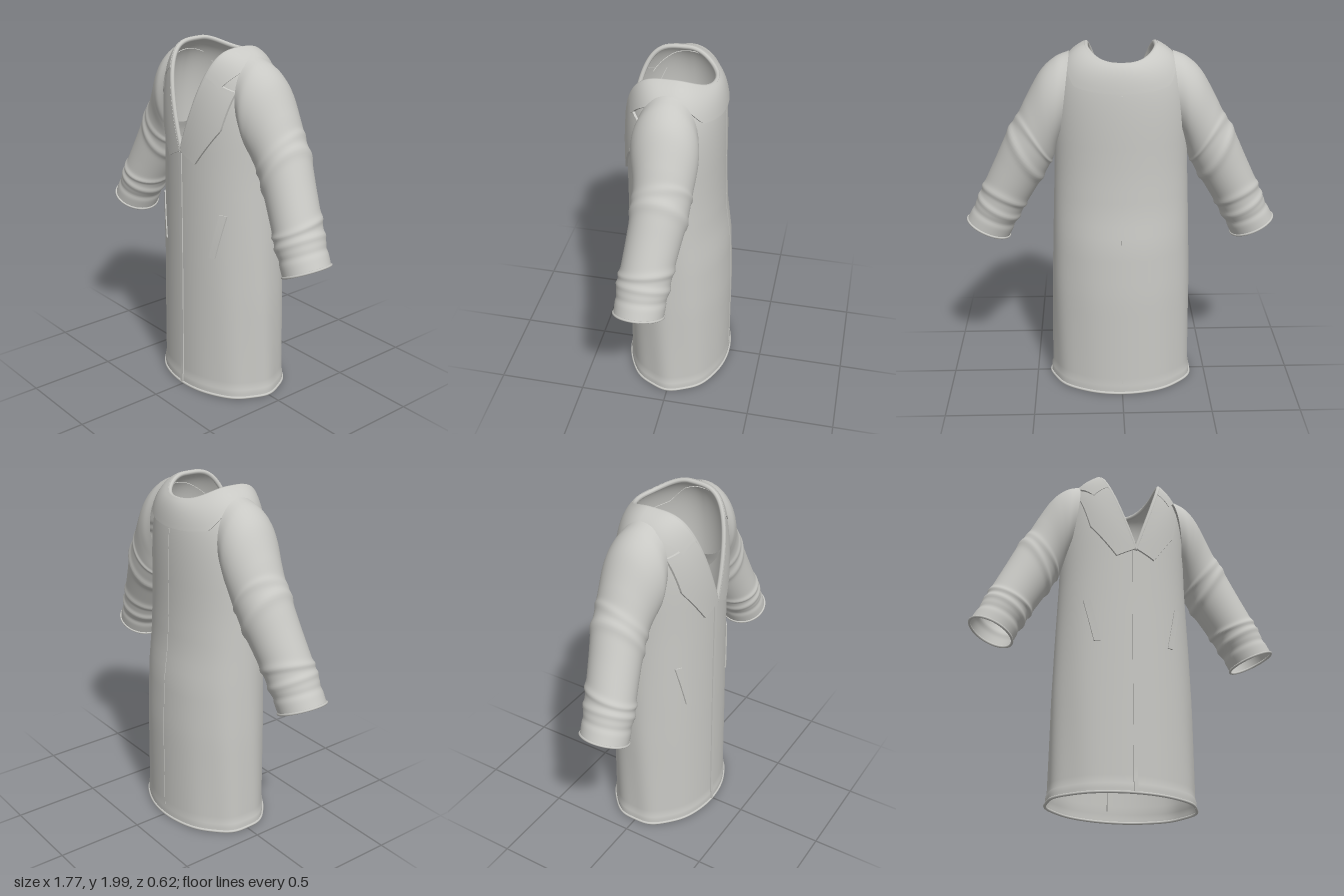
import * as THREE from 'three';
import { toCreasedNormals } from 'three/addons/utils/BufferGeometryUtils.js';

const V = (x, y, z) => new THREE.Vector3(x, y, z);
const fabric = new THREE.MeshStandardMaterial({ color: 0xc8c8c4, side: THREE.DoubleSide });
fabric.name = 'light grey fabric';

// Surface through a grid of points; rows may be closed into rings
function loft(rows, closed) {
  const n = rows[0].length, index = [];
  for (let j = 0; j < rows.length - 1; j++) {
    for (let i = 0; i < (closed ? n : n - 1); i++) {
      const a = j * n + i, b = j * n + (i + 1) % n, c = a + n, d = b + n;
      index.push(a, b, d, a, d, c);
    }
  }
  const g = new THREE.BufferGeometry().setFromPoints(rows.flat());
  g.setIndex(index);
  g.computeVertexNormals();
  return g;
}

// Raised cloth panel: fn(u, v, raised) with a skirt folded down at its border
function panel(fn, nu, nv) {
  const rows = [];
  for (let j = -1; j <= nv + 1; j++) {
    const row = [];
    for (let i = -1; i <= nu + 1; i++) {
      const edge = i < 0 || j < 0 || i > nu || j > nv;
      row.push(fn(THREE.MathUtils.clamp(i / nu, 0, 1), THREE.MathUtils.clamp(j / nv, 0, 1), !edge));
    }
    rows.push(row);
  }
  return toCreasedNormals(loft(rows, false), 0.8);
}

// Piecewise linear lookup in rows of [key, values...]
function lookup(table, k) {
  let i = 0;
  while (i < table.length - 2 && k > table[i + 1][0]) i++;
  const [a, b] = [table[i], table[i + 1]];
  const t = THREE.MathUtils.clamp((k - a[0]) / (b[0] - a[0]), 0, 1);
  return a.slice(1).map((v, n) => v + (b[n + 1] - v) * t);
}

// Height, half width, front depth, back depth of the coat skirt
const PROFILE = [
  [0, 0.412, 0.3, 0.302], [0.055, 0.41, 0.3, 0.302], [0.065, 0.404, 0.295, 0.3], [0.6, 0.398, 0.29, 0.3],
  [0.9, 0.388, 0.288, 0.287], [1.1, 0.38, 0.287, 0.262], [1.3, 0.372, 0.287, 0.252], [1.43, 0.37, 0.287, 0.25],
];
const CHEST = 1.43;

function skirtPoint(th, y) {
  const [w, f, b] = lookup(PROFILE, y);
  const c = Math.cos(th), fade = Math.max(0, 1 - y / 1.3);
  const fold = 1 + 0.012 * fade * Math.sin(th * 9 + y * 2) * Math.sin(th) ** 2;
  return V(w * Math.sin(th) * fold, y, (c > 0 ? f : b) * c * fold);
}

// Neckline: a deep V in front, a round scoop behind
function neckPoint(th) {
  const s = Math.abs(Math.sin(th)), c = Math.cos(th), x = 0.19 * Math.sin(th);
  return c >= 0 ? V(x, CHEST + 0.55 * s, 0.287 * Math.sqrt(c)) : V(x, 1.915 + 0.065 * s ** 3, 0.19 * c);
}

// Chest, back and shoulders: v runs from the chest line to the neckline
function upperPoint(th, v) {
  const C = skirtPoint(th, CHEST), N = neckPoint(th), dy = N.y - C.y;
  const k1 = V(C.x, C.y + 0.6 * dy, C.z);
  const k2 = N.clone().lerp(C, 0.85).setY(C.y + 0.9 * dy);
  return new THREE.CubicBezierCurve3(C, k1, k2, N).getPoint(v);
}

function upperNormal(th, v) {
  const e = 0.01, v0 = Math.min(v, 0.98);
  const du = upperPoint(th + e, v0).sub(upperPoint(th - e, v0));
  const dv = upperPoint(th, v0 + e).sub(upperPoint(th, v0 - e));
  return du.cross(dv).normalize();
}

// Upper edge x, y, centre z / lower edge x, y, half depth, from shoulder to cuff
const SLEEVE = [
  [0.28, 1.95, 0.01, 0.34, 1.47, 0.165], [0.36, 1.915, 0.01, 0.355, 1.43, 0.178],
  [0.44, 1.84, 0.005, 0.365, 1.395, 0.172], [0.52, 1.7, 0, 0.375, 1.36, 0.158],
  [0.57, 1.6, 0, 0.39, 1.33, 0.152], [0.635, 1.49, 0.005, 0.425, 1.265, 0.148],
  [0.7, 1.35, 0.022, 0.48, 1.17, 0.142], [0.765, 1.21, 0.04, 0.535, 1.075, 0.138],
  [0.8, 1.13, 0.05, 0.565, 1.02, 0.138], [0.84, 1.05, 0.058, 0.605, 0.94, 0.136],
  [0.882, 0.966, 0.065, 0.645, 0.858, 0.132],
];
const curve = (k) => new THREE.CatmullRomCurve3(SLEEVE.map((r) => V(r[k], r[k + 1], r[k + 2])), false, 'catmullrom', 0.5);
const upper = curve(0), lower = curve(3);

function sleevePoint(t, a) {
  const U = upper.getPoint(t), L = lower.getPoint(t);
  const crease = (at, width, tilt) => Math.exp(-(((t - at - tilt * Math.sin(a + at * 9)) / width) ** 2));
  const r = 1 + 0.06 * crease(0.5, 0.022, 0.03) + 0.04 * crease(0.4, 0.02, -0.03)
    + 0.06 * crease(0.73, 0.022, 0.025) + 0.055 * crease(0.83, 0.02, -0.015) - 0.04 * crease(0.9, 0.02, 0);
  const c = Math.cos(a) * 0.5 * r;
  return V((U.x + L.x) / 2 + (U.x - L.x) * c, (U.y + L.y) / 2 + (U.y - L.y) * c, U.z + L.z * r * Math.sin(a));
}

const ring = (n, fn) => Array.from({ length: n }, (_, i) => fn((i / n) * Math.PI * 2));
const piping = (points, r) => new THREE.TubeGeometry(new THREE.CatmullRomCurve3(points, true), 160, r, 8, true);

export function createModel() {
  const coat = new THREE.Group();
  coat.name = 'coat';
  const add = (geometry, name, parent = coat) => {
    const mesh = new THREE.Mesh(geometry, fabric);
    mesh.name = name;
    parent.add(mesh);
    return mesh;
  };

  // Body shell from hem to neckline
  const rows = [0, 0.03, 0.055, 0.065, 0.1].map((y) => ring(120, (th) => skirtPoint(th, y)));
  for (let i = 1; i <= 20; i++) rows.push(ring(120, (th) => skirtPoint(th, 0.1 + (CHEST - 0.1) * (i / 20))));
  for (let i = 1; i <= 24; i++) rows.push(ring(120, (th) => upperPoint(th, i / 24)));
  const body = add(loft(rows, true), 'body');
  add(piping(ring(64, (th) => skirtPoint(th, 0.008)), 0.008), 'hemRim');
  add(piping(ring(96, neckPoint), 0.013), 'necklineEdge');

  // Lay a point on the front or back of the body
  const ray = new THREE.Raycaster();
  const onBody = (x, y, lift, side = 1) => {
    ray.set(V(x, y, side * 2), V(0, 0, -side));
    const hit = ray.intersectObject(body)[0];
    const s = THREE.MathUtils.clamp((y - CHEST) / 0.55, 0, 0.99);
    const z = hit && hit.point.z * side > 0 ? hit.point.z : 0.287 * Math.sqrt(Math.sqrt(1 - s * s));
    return V(x, y, z + side * lift);
  };
  // Straight strip laid on the body between two points
  const strip = (x0, y0, x1, y1, w, lift, n, side) => panel((u, v, up) =>
    onBody(x0 + (x1 - x0) * v + (u - 0.5) * w * side, y0 + (y1 - y0) * v, up ? lift : -0.004, side), 2, n);

  // Collar around the back of the neck, squared off behind
  const OUTER = [[0.87, 0.72], [1.2, 0.7], [1.57, 0.72], [1.95, 0.68], [2.3, 0.53], [3.15, 0.52]];
  add(panel((u, v, up) => {
    const th = 0.87 + (Math.PI * 2 - 1.74) * u;
    const out = lookup(OUTER, Math.min(th, Math.PI * 2 - th))[0];
    const k = out + (0.995 - out) * v;
    return upperPoint(th, k).addScaledVector(upperNormal(th, k), up ? 0.014 : -0.004);
  }, 72, 8), 'collar');

  // Front placket and centre back seam
  add(strip(-0.01, 0.004, -0.01, 1.42, 0.022, 0.006, 30, 1), 'placket');
  add(strip(0, 0.07, 0, 1.76, 0.008, 0.003, 36, -1), 'backSeam');

  for (const side of [1, -1]) {
    const half = new THREE.Group();
    half.name = side > 0 ? 'leftSide' : 'rightSide';
    half.scale.x = side;
    coat.add(half);

    // Sleeve with elbow and cuff folds
    const sleeve = [];
    for (let j = 0; j <= 90; j++) sleeve.push(ring(40, (a) => sleevePoint(j / 90, a)));
    add(loft(sleeve, true), 'sleeve', half);
    add(piping(ring(40, (a) => sleevePoint(0.995, a)), 0.007), 'cuffRim', half);

    // Lapel folded back from the V
    const EDGE = [[0, 0.11, 1.378], [0.5, 0.248, 1.58], [1, 0.295, 1.785]];
    add(panel((u, v, up) => {
      const [ox, oy] = lookup(EDGE, v);
      const x = 0.005 + 0.147 * v, y = CHEST + 0.425 * v;
      return onBody(x + (ox - x) * u, y + (oy - y) * u, up ? 0.013 : -0.004);
    }, 10, 20), 'lapel', half);

    // Slanted welt pocket
    add(strip(0.208, 0.855, 0.262, 1.11, 0.034, 0.008, 8, 1), 'pocketWelt', half);
  }
  return coat;
}
